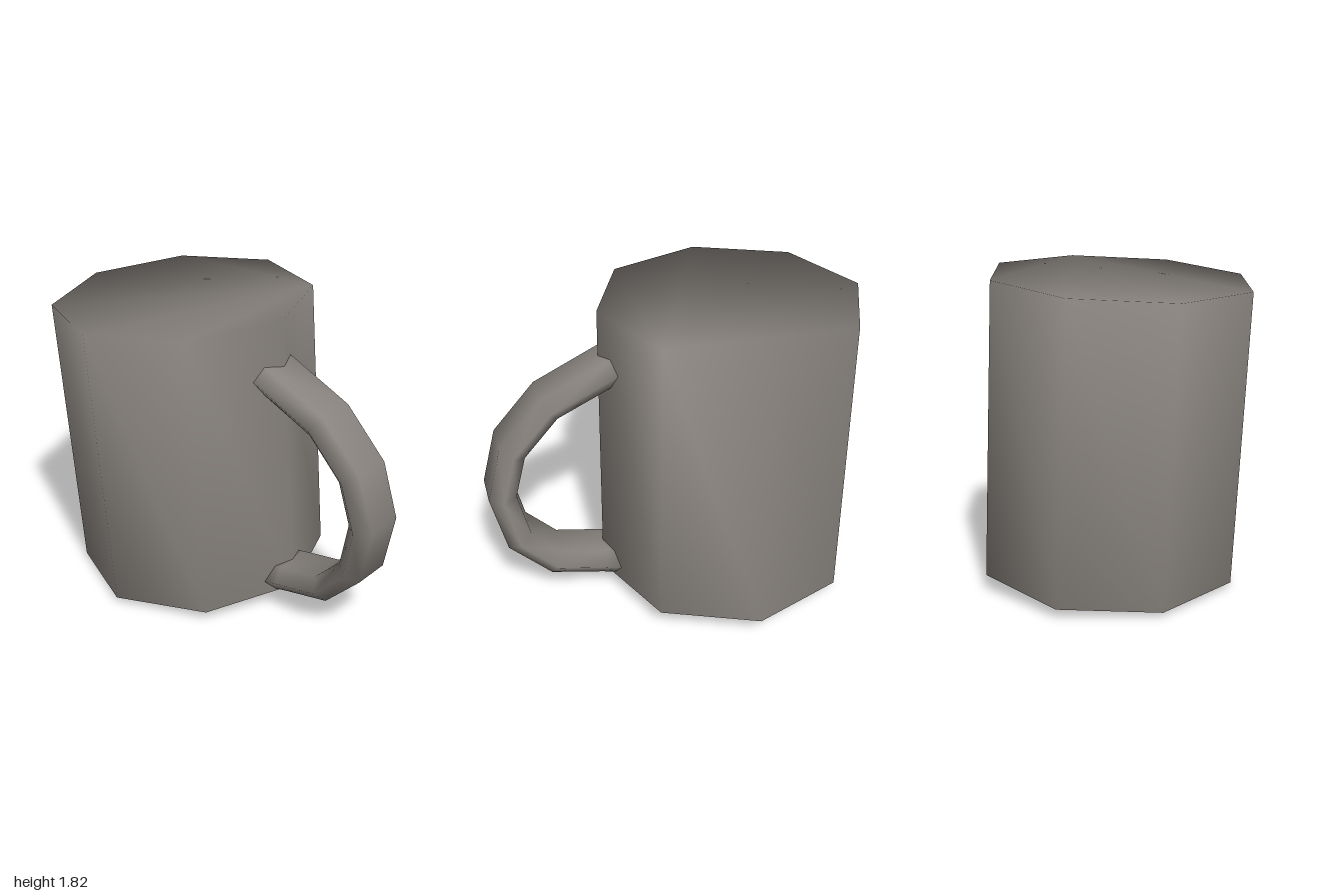
import * as THREE from 'three';

// Joins equal rings of points into one smooth skin, with optional end faces.
function loft(rings, capStart, capEnd) {
  const index = [];
  const n = rings[0].length;
  for (let i = 0; i < rings.length - 1; i++) {
    for (let j = 0; j < n; j++) {
      const k = (j + 1) % n;
      const a = i * n + j, a2 = i * n + k, b = a + n, b2 = a2 + n;
      index.push(a, a2, b, a2, b2, b);
    }
  }
  const last = (rings.length - 1) * n;
  for (let j = 1; j < n - 1; j++) {
    if (capStart) index.push(0, j + 1, j);
    if (capEnd) index.push(last, last + j, last + j + 1);
  }
  const geometry = new THREE.BufferGeometry();
  geometry.setAttribute('position', new THREE.Float32BufferAttribute(rings.flat(2), 3));
  geometry.setIndex(index);
  geometry.computeVertexNormals();
  return geometry;
}

// Level octagon around the mug's axis
const START = THREE.MathUtils.degToRad(13);
function octagon(radius, height) {
  return Array.from({ length: 8 }, (_, j) => {
    const a = START + (j * Math.PI * 2) / 8;
    return [Math.cos(a) * radius, height, Math.sin(a) * radius];
  });
}

export function createModel() {
  const ceramic = new THREE.MeshStandardMaterial({ color: 0x87827d });
  ceramic.name = 'warm grey ceramic';
  const blue = new THREE.MeshStandardMaterial({ color: 0x73a0be });
  blue.name = 'light blue';

  const mug = new THREE.Group();
  mug.name = 'mug';
  const add = (name, geometry, material) => {
    const mesh = new THREE.Mesh(geometry, material);
    mesh.name = name;
    mug.add(mesh);
    return mesh;
  };

  // Closed upper end, straight wall, bevelled rim and recessed opening
  add('body', loft([
    octagon(0.758, 1.69),
    octagon(0.758, -0.005),
    octagon(0.64, -0.04),
    octagon(0.59, 0.07),
  ], true, false), ceramic);

  // Flat face inside the opening
  add('filling', loft([octagon(0.59, 0.07)], false, true), blue);

  // Handle: flat hexagonal section swept along (radius, height) points
  const section = [
    [0.078, -0.11], [0.078, 0.11], [0, 0.177],
    [-0.078, 0.11], [-0.078, -0.11], [0, -0.177],
  ];
  const path = [
    [0.66, 1.385], [1.06, 1.185], [1.275, 0.935], [1.345, 0.65],
    [1.265, 0.345], [1.055, 0.15], [0.77, 0.1], [0.66, 0.075],
  ].map(([x, y]) => new THREE.Vector2(x, y));
  const rings = path.map((p, i) => {
    const before = path[Math.max(i - 1, 0)];
    const after = path[Math.min(i + 1, path.length - 1)];
    const d = after.clone().sub(before).normalize();
    return section.map(([out, side]) => [p.x - d.y * out, p.y + d.x * out, side]);
  });
  const handle = add('handle', loft(rings, true, true), ceramic);
  handle.rotation.y = -(START + Math.PI / 4);

  // The whole mug leans slightly
  const lean = new THREE.Vector3(-0.075, 1, 0.008).normalize();
  mug.quaternion.setFromUnitVectors(new THREE.Vector3(0, 1, 0), lean);
  mug.position.set(0.03, 0.082, -0.263);

  const model = new THREE.Group();
  model.name = 'leaningMug';
  model.add(mug);
  return model;
}
